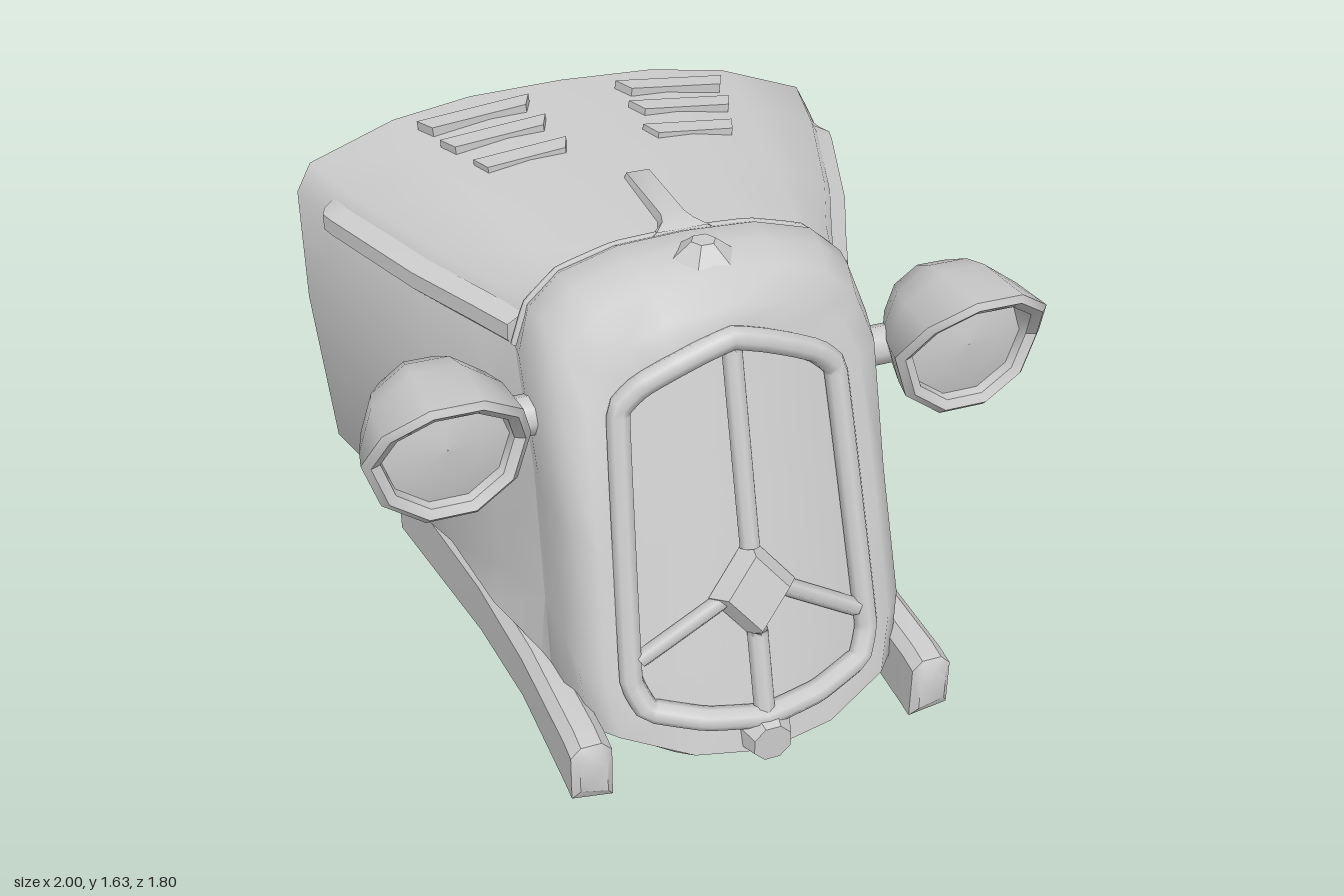
import * as THREE from 'three';
import { toCreasedNormals } from 'three/addons/utils/BufferGeometryUtils.js';

const mat = new THREE.MeshStandardMaterial({ color: 0xcccccc, side: THREE.DoubleSide });

// Skin between rows of [x, y, z] points
function loft(rows, closed = false, crease = 0.6) {
  const n = rows[0].length, index = [];
  for (let r = 0; r < rows.length - 1; r++) {
    for (let i = 0; i < (closed ? n : n - 1); i++) {
      const a = r * n + i, b = r * n + (i + 1) % n;
      index.push(a, a + n, b, b, a + n, b + n);
    }
  }
  const g = new THREE.BufferGeometry();
  g.setAttribute('position', new THREE.Float32BufferAttribute(rows.flat(2), 3));
  g.setIndex(index);
  return toCreasedNormals(g, crease);
}

// Half outline -> whole outline, running from +x over the centre to -x
const mirror = half => [
  ...half.slice().reverse(),
  ...half.slice(1).map(([x, y, z]) => [-x, y, z]),
];
// Half outline with centre points at both ends -> closed ring
const ring = half => [...half, ...half.slice(1, -1).reverse().map(([x, y, z]) => [-x, y, z])];
// Strip spanning from +x to -x through each point
const strip = pts => loft(pts.map(([x, y, z]) => [[x, y, z], [-x, y, z]]), false, 0.3);

// Leaning, bowed surface of the grille
const grilleZ = (x, y) => 0.53 + (1.45 - y) * 0.29 - 0.6 * x * x;
const onGrille = (x, y, lift = 0) => [x, y, grilleZ(x, y) + lift];

function tube(points, radius, { closed = false, sides = 8, segments = 24 } = {}) {
  const path = new THREE.CatmullRomCurve3(points.map(p => new THREE.Vector3(...p)), closed, 'catmullrom', 0.1);
  return new THREE.TubeGeometry(path, segments, radius, sides, closed);
}

export function createModel() {
  const model = new THREE.Group();
  const add = (name, geometry, parent = model) => {
    const mesh = new THREE.Mesh(geometry, mat);
    mesh.name = name;
    parent.add(mesh);
    return mesh;
  };

  // Hood: open shell widening to the rear, its lower edge flaring onto the rails
  const section = (z, pts) => pts.map(([x, y]) => [x, y, z]);
  const seam = [[0, 1.585, 0.17], [0.2, 1.575, 0.17], [0.36, 1.53, 0.17], [0.455, 1.45, 0.18], [0.5, 1.34, 0.2],
    [0.495, 1, 0.32], [0.505, 0.62, 0.41], [0.525, 0.44, 0.42], [0.48, 0.43, 0.42]];
  const hoodRows = [
    section(-0.88, [[0, 1.61], [0.3, 1.6], [0.55, 1.56], [0.82, 1.46], [0.868, 1.37], [0.868, 1], [0.82, 0.46], [0.74, 0.355], [0.66, 0.355]]),
    section(-0.6, [[0, 1.605], [0.28, 1.595], [0.52, 1.555], [0.75, 1.46], [0.8, 1.37], [0.8, 1], [0.765, 0.48], [0.7, 0.37], [0.62, 0.37]]),
    section(-0.2, [[0, 1.595], [0.24, 1.585], [0.44, 1.545], [0.61, 1.455], [0.66, 1.36], [0.665, 1], [0.65, 0.54], [0.62, 0.43], [0.55, 0.42]]),
    [[0, 1.588, 0.05], [0.21, 1.578, 0.05], [0.385, 1.535, 0.05], [0.5, 1.45, 0.05], [0.55, 1.35, 0.06],
      [0.55, 1, 0.12], [0.56, 0.56, 0.15], [0.59, 0.44, 0.15], [0.53, 0.43, 0.15]],
    seam,
  ];
  add('hood', loft(hoodRows.map(mirror), false, 0.8));

  // Rounded surround blending the hood into the grille
  const outline = [[0, 1.445], [0.09, 1.42], [0.17, 1.388], [0.255, 1.345], [0.317, 1.28],
    [0.34, 0.9], [0.36, 0.52], [0.325, 0.435], [0.17, 0.4], [0, 0.38]];
  const surround = [
    [...seam.slice(0, 8), [0.3, 0.28, 0.42], [0, 0.28, 0.42]],
    [[0, 1.605, 0.21], [0.2, 1.595, 0.21], [0.37, 1.545, 0.21], [0.465, 1.46, 0.22], [0.505, 1.34, 0.25],
      [0.495, 0.98, 0.37], [0.505, 0.62, 0.45], [0.515, 0.44, 0.48], [0.3, 0.28, 0.5], [0, 0.28, 0.5]],
    [[0, 1.605, 0.3], [0.2, 1.59, 0.3], [0.36, 1.54, 0.3], [0.45, 1.46, 0.3], [0.49, 1.33, 0.35],
      [0.485, 0.95, 0.48], [0.5, 0.6, 0.56], [0.51, 0.42, 0.58], [0.3, 0.27, 0.64], [0, 0.26, 0.66]],
    [[0, 1.59, 0.43], [0.19, 1.57, 0.425], [0.33, 1.515, 0.415], [0.425, 1.425, 0.41], [0.465, 1.3, 0.46],
      [0.465, 0.94, 0.57], [0.49, 0.55, 0.66], [0.475, 0.35, 0.68], [0.25, 0.265, 0.78], [0, 0.24, 0.81]],
    [[0, 1.53, 0.525], [0.17, 1.5, 0.51], [0.28, 1.445, 0.49], [0.36, 1.38, 0.475], [0.4, 1.27, 0.51],
      [0.415, 0.9, 0.63], [0.435, 0.52, 0.72], [0.405, 0.35, 0.76], [0.21, 0.29, 0.84], [0, 0.265, 0.865]],
    outline.map(([x, y]) => onGrille(x, y)),
  ];
  add('grilleSurround', loft(surround.map(ring), true, 1));

  // Grille panel, moulded frame and bars
  const steps = [-1, -0.75, -0.5, -0.25, 0, 0.25, 0.5, 0.75, 1];
  add('grillePanel', loft(outline.slice(1, -1).map(([x, y]) => steps.map(t => onGrille(t * x, y, -0.015)))));
  add('grilleFrame', tube(ring(outline).map(([x, y]) => onGrille(x, y, 0.005)), 0.035, { closed: true, segments: 100 }));
  add('upperGrilleBar', tube([onGrille(0, 1.43), onGrille(0, 0.87)], 0.03));
  add('lowerGrilleBar', tube([onGrille(0, 0.63), onGrille(0, 0.36)], 0.032));
  for (const s of [-1, 1]) {
    add('diagonalGrilleBar', tube([onGrille(s * 0.08, 0.74), onGrille(s * 0.33, 0.58)], 0.027, { sides: 6 }));
  }
  const diamond = add('grilleDiamond', toCreasedNormals(new THREE.CylinderGeometry(0.7, 1, 1, 4).rotateX(Math.PI / 2), 0.4));
  diamond.scale.set(0.13, 0.16, 0.055);
  diamond.position.set(0, 0.75, grilleZ(0, 0.75) + 0.015);
  diamond.rotation.x = -0.28;
  const boss = add('chinBoss', toCreasedNormals(new THREE.CylinderGeometry(0.06, 0.095, 0.1, 8).rotateX(Math.PI / 2).rotateZ(Math.PI / 8), 0.4));
  boss.position.set(0, 0.32, 0.85);

  // Top trim: seam bead, centre rib, filler cap
  add('hoodSeamBead', tube(mirror(seam.slice(0, 5)), 0.012, { segments: 40, sides: 6 }));
  const rib = [[-0.22, 0.004, 1.585], [-0.18, 0.05, 1.608], [0.1, 0.05, 1.608], [0.14, 0.065, 1.605], [0.18, 0.11, 1.595]];
  add('hoodRib', loft(rib.map(([z, w, y]) => [[-w, 1.57, z], [-w * 0.7, y, z], [w * 0.7, y, z], [w, 1.57, z]])));
  const cap = add('fillerCap', toCreasedNormals(new THREE.CylinderGeometry(0.035, 0.092, 0.045, 6).rotateY(Math.PI / 2), 0.3));
  cap.position.set(0, 1.612, 0.33);

  // Floor pan, tall rear wall and the deck between the rails
  const pan = [
    [[0, 0.25, 0.42], [0.44, 0.25, 0.42], [0.48, 0.27, 0.42], [0.48, 0.28, 0.42]],
    [[0, 0.04, 0.22], [0.26, 0.04, 0.22], [0.49, 0.22, 0.3], [0.49, 0.25, 0.3]],
    [[0, 0, -0.82], [0.25, 0, -0.82], [0.54, 0.16, -0.855], [0.54, 0.19, -0.86]],
  ];
  add('floorPan', loft(pan.map(mirror), false, 0.3));
  add('panRearWall', strip([[0.25, 0, -0.82], [0.54, 0.18, -0.86], [0.54, 0.37, -0.905]]));
  add('deck', strip([[0.46, 0.29, 0.66], [0.48, 0.28, 0.4], [0.53, 0.28, -0.2], [0.55, 0.27, -0.88]]));

  for (const s of [-1, 1]) {
    const side = new THREE.Group();
    side.name = s > 0 ? 'leftSide' : 'rightSide';
    model.add(side);

    // Raised side moulding, fading out at its rear tip: z, surface x, height
    const moulding = [[0.18, 0.5, 0.012], [0.05, 0.553, 0.015], [-0.2, 0.663, 0.018], [-0.6, 0.803, 0.02], [-0.65, 0.817, 0.02], [-0.69, 0.823, 0]];
    add('sideMoulding', loft(moulding.map(([z, x, h]) => [[-0.005, 1.325], [h, 1.345], [h, 1.395], [-0.035, 1.425]]
      .map(([dx, y]) => [s * (x + dx), y, z]))), side);

    // Roof louvres, narrower at the front edge
    for (const [x, w, z, y] of [[0.32, 0.36, -0.735, 1.592], [0.3, 0.335, -0.59, 1.586], [0.265, 0.29, -0.43, 1.58]]) {
      const g = new THREE.BoxGeometry(w, 0.04, 0.07);
      const p = g.attributes.position;
      for (let i = 0; i < p.count; i++) if (p.getZ(i) > 0) p.setX(i, p.getX(i) * 0.83);
      g.computeVertexNormals();
      const vent = add('roofLouvre', g, side);
      vent.position.set(s * x, y, z);
      vent.rotation.z = -s * 0.1;
    }

    // Chassis rail: z, inner x, outer x, bottom, top
    const rail = [[0.865, 0.48, 0.56, 0.27, 0.4], [0.845, 0.46, 0.58, 0.235, 0.43], [0.78, 0.46, 0.58, 0.24, 0.44],
      [0.4, 0.465, 0.582, 0.25, 0.44], [0, 0.49, 0.595, 0.2, 0.415], [-0.75, 0.545, 0.66, 0.1, 0.36]]
      .map(([z, a, b, lo, hi]) => [[a, lo], [b, lo + 0.02], [b, hi - 0.03], [b - 0.03, hi], [a + 0.03, hi], [a, hi - 0.03]]
        .map(([x, y]) => [s * x, y, z]));
    const point = (x, y, z) => Array(6).fill([s * x, y, z]);
    add('chassisRail', loft([point(0.52, 0.33, 0.865), ...rail, point(0.6, 0.23, -0.75)], true), side);

    // Headlamp: bowl and rim, pulled forward at the top into a visor
    const profile = [[0.001, 0.1], [0.07, 0.14], [0.14, 0.2], [0.195, 0.3], [0.22, 0.39], [0.232, 0.455],
      [0.21, 0.478], [0.182, 0.465], [0.175, 0.42]].map(([r, z]) => new THREE.Vector2(r, z));
    const bowl = new THREE.LatheGeometry(profile, 10, Math.PI / 2).rotateX(Math.PI / 2);
    const p = bowl.attributes.position;
    for (let i = 0; i < p.count; i++) {
      if (p.getZ(i) > 0.44 && p.getY(i) > 0) p.setZ(i, p.getZ(i) + p.getY(i) * 0.66);
    }
    const lamp = new THREE.Group();
    lamp.name = 'headlamp';
    lamp.position.set(s * 0.77, 1.22, 0);
    side.add(lamp);
    add('lampBowl', toCreasedNormals(bowl, 0.75), lamp);
    const lens = [[0.18, 0.435], [0.1, 0.455], [0.001, 0.462]].map(([r, z]) => new THREE.Vector2(r, z));
    add('lampLens', new THREE.LatheGeometry(lens, 10, Math.PI / 2).rotateX(Math.PI / 2), lamp);

    // Lamp bracket
    const arm = add('lampArm', new THREE.CylinderGeometry(0.06, 0.06, 0.12, 8).rotateZ(Math.PI / 2), side);
    arm.position.set(s * 0.54, 1.18, 0.31);
  }

  return model;
}
